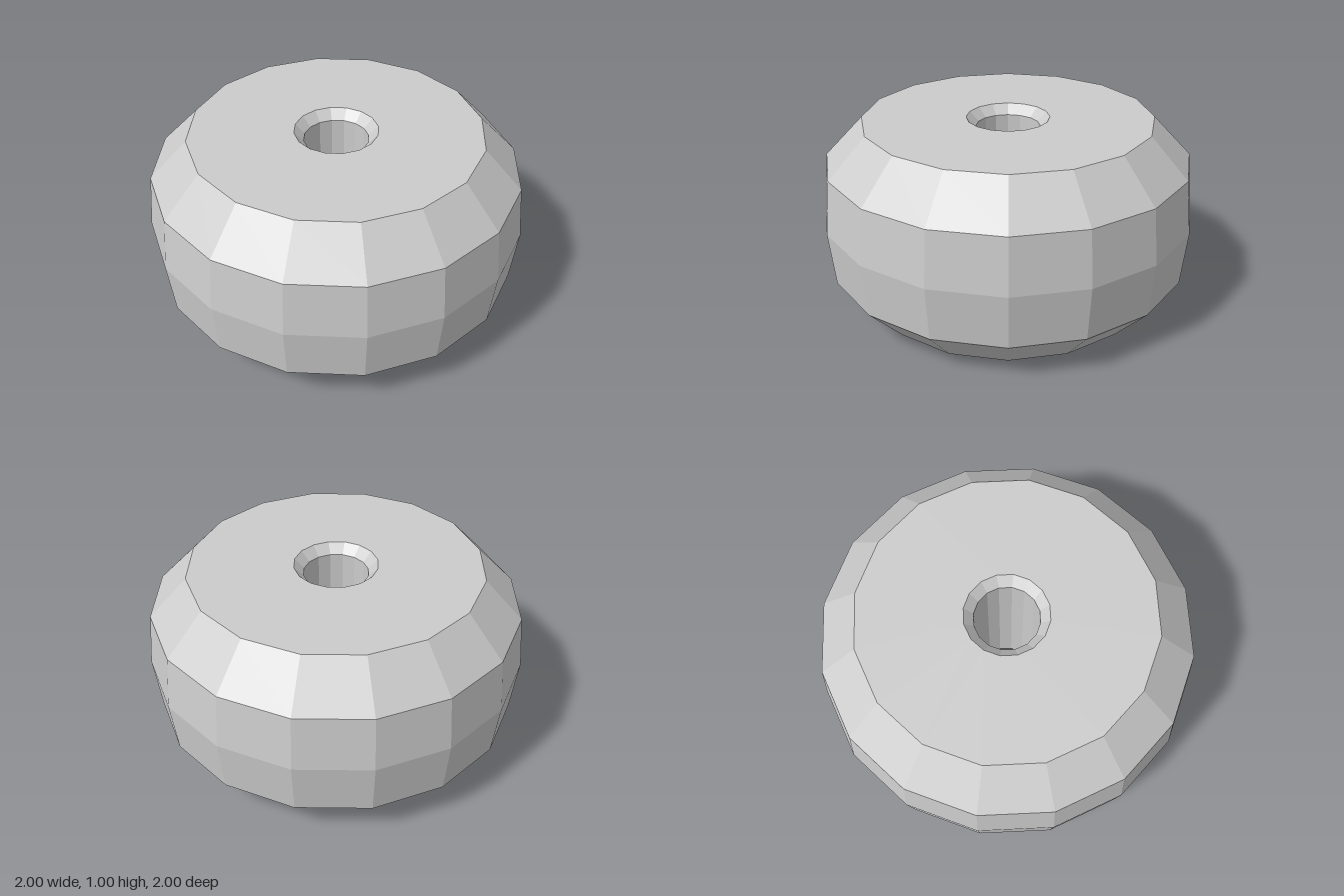
import * as THREE from 'three';

const SIDES = 16;

// Faceted ring swept from [radius, height] points, listed so faces point outward
function facetedLathe(profile) {
  const points = profile.map(([r, y]) => new THREE.Vector2(r, y));
  const geometry = new THREE.LatheGeometry(points, SIDES).toNonIndexed();
  geometry.computeVertexNormals();
  return geometry;
}

export function createModel() {
  const group = new THREE.Group();
  group.name = 'bead';

  const grey = new THREE.MeshStandardMaterial({ color: 0xcccccc });
  grey.name = 'light grey';

  const parts = {
    // Flat underside, bevels, slightly bulging wall and flat top
    body: [[0.22, 0], [0.77, 0], [0.97, 0.21], [1, 0.5], [0.97, 0.79], [0.77, 1], [0.22, 1]],
    // Through hole with a chamfer at each end
    hole: [[0.22, 1], [0.17, 0.95], [0.17, 0.05], [0.22, 0]],
  };

  for (const [name, profile] of Object.entries(parts)) {
    const mesh = new THREE.Mesh(facetedLathe(profile), grey);
    mesh.name = name;
    group.add(mesh);
  }
  return group;
}
